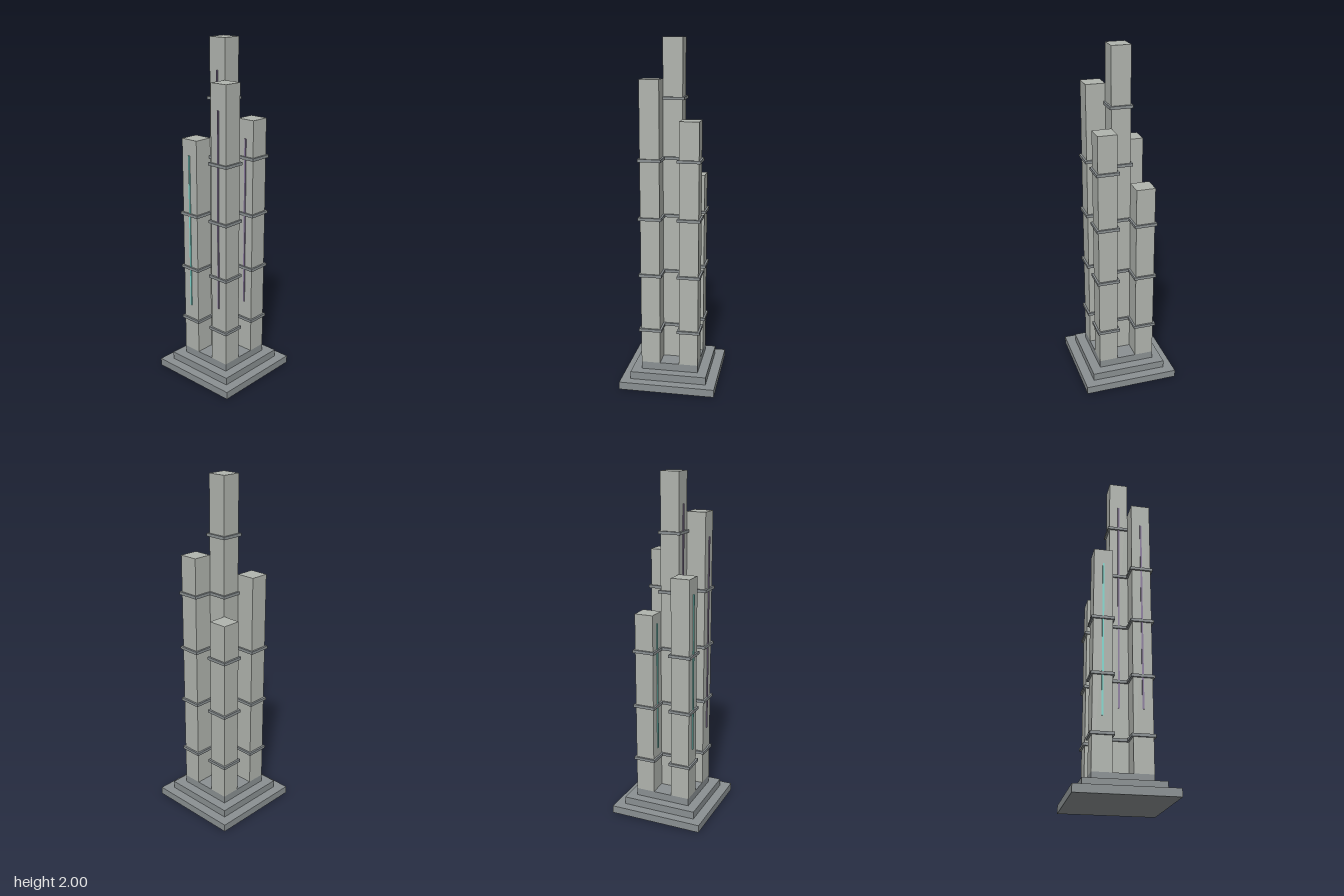
import * as THREE from 'three';

const stone = new THREE.MeshStandardMaterial({ color: 0xb0b4ae });
const darkStone = new THREE.MeshStandardMaterial({ color: 0x8a9092 });
const cyan = new THREE.MeshStandardMaterial({ color: 0x7fd6cc });
const purple = new THREE.MeshStandardMaterial({ color: 0x8a7a9c });

// Box of size w x h x d standing on height y
function block(parent, name, material, w, h, d, x, y, z) {
  const mesh = new THREE.Mesh(new THREE.BoxGeometry(w, h, d), material);
  mesh.name = name;
  mesh.position.set(x, y + h / 2, z);
  parent.add(mesh);
}

const U = 1 / 9;            // tower width
const STEP = 0.4 * U;       // height of a base step
const FLOOR = 3 * STEP;     // top of the base

// Square shaft with evenly spaced bands and a light strip on its front
function tower(name, x, z, top, glow) {
  const group = new THREE.Group();
  group.name = name;
  group.position.set(x, 0, z);
  block(group, 'shaft', stone, U, top - FLOOR, U, 0, FLOOR, 0);
  for (let y = 3 * U; y < top - 0.15; y += 3 * U) {
    block(group, 'band', darkStone, 1.2 * U, 0.0167, 1.2 * U, 0, y - 0.005, 0);
  }
  const length = 0.7 * (top - 0.128);
  block(group, 'lightStrip', glow, 0.01, length, 0.0055, 0, 0.5 * top + 0.17 - length / 2, U / 2 + 0.0028);
  return group;
}

export function createModel() {
  const model = new THREE.Group();
  model.name = 'towerCluster';

  // Stepped base
  [5, 4, 3].forEach((n, i) => {
    block(model, 'baseStep', darkStone, n * U, STEP, n * U, 0, i * STEP, 0);
  });

  // Central tower and four shorter corner towers
  model.add(
    tower('centralTower', 0, 0, 18 * U, purple),
    tower('frontLeftTower', U, U, 16 * U, purple),
    tower('backLeftTower', U, -U, 14 * U, purple),
    tower('frontRightTower', -U, U, 13 * U, cyan),
    tower('backRightTower', -U, -U, 11 * U, cyan),
  );
  return model;
}
